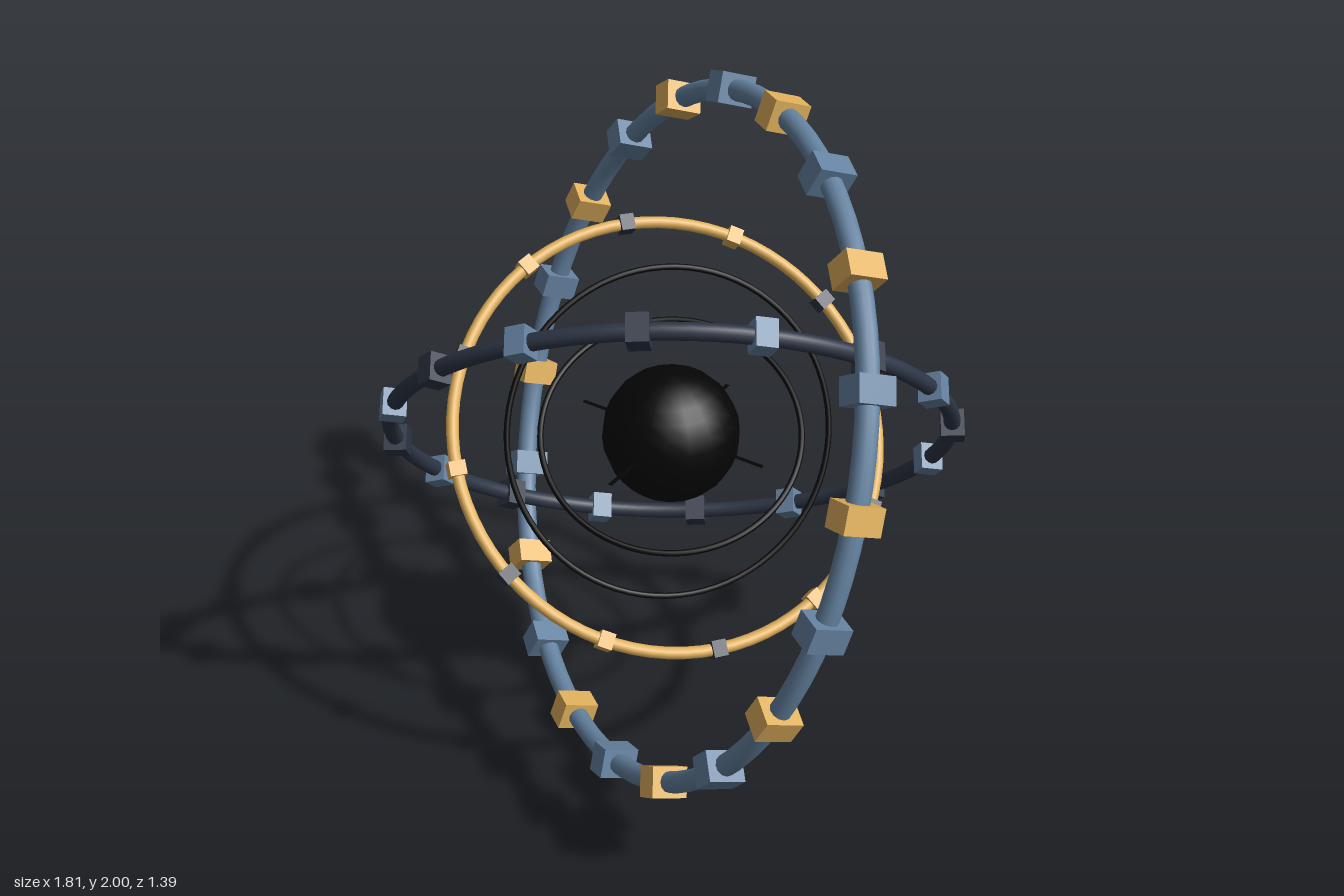
import * as THREE from 'three';

const paint = (color) => new THREE.MeshStandardMaterial({ color });

export function createModel() {
  const model = new THREE.Group();
  const blue = paint(0x6482a0), gold = paint(0xe0b05c), navy = paint(0x2d3545), black = paint(0x050505);

  // A ring around the given axis; beads alternate two materials, the first sits towards "start"
  function ring(name, { radius, tube, axis, start = [1, 0, 0], material, beads = 0, size, beadMaterials }) {
    const group = new THREE.Group();
    group.name = name;
    const z = new THREE.Vector3(...axis).normalize();
    const x = new THREE.Vector3(...start);
    x.addScaledVector(z, -x.dot(z)).normalize();
    const y = new THREE.Vector3().crossVectors(z, x);
    group.quaternion.setFromRotationMatrix(new THREE.Matrix4().makeBasis(x, y, z));

    const band = new THREE.Mesh(new THREE.TorusGeometry(radius, tube, 12, 80), material);
    band.name = name + 'Band';
    group.add(band);

    // size is radial, tangential, axial
    const box = beads ? new THREE.BoxGeometry(...size) : null;
    for (let i = 0; i < beads; i++) {
      const a = (i / beads) * Math.PI * 2;
      const bead = new THREE.Mesh(box, beadMaterials[i % 2]);
      bead.name = name + 'Block';
      bead.position.set(Math.cos(a) * radius, Math.sin(a) * radius, 0);
      bead.rotation.z = a;
      group.add(bead);
    }
    group.position.y = 1;
    model.add(group);
  }

  // Three beaded rings, largest first
  ring('outerRing', {
    radius: 0.997, tube: 0.031, axis: [-0.537, 0.334, 0.774], start: [0.174, 0.94, -0.29],
    material: blue, beads: 20, size: [0.088, 0.075, 0.11], beadMaterials: [gold, blue],
  });
  ring('middleRing', {
    radius: 0.808, tube: 0.024, axis: [-0.431, 0.609, -0.665], start: [0.187, 0.637, 0.428],
    material: navy, beads: 16, size: [0.067, 0.06, 0.08], beadMaterials: [navy, blue],
  });
  ring('innerRing', {
    radius: 0.637, tube: 0.018, axis: [0.579, 0.691, 0.42], start: [-0.345, 0.44, -0.28],
    material: gold, beads: 12, size: [0.048, 0.042, 0.053], beadMaterials: [navy, gold],
  });

  // Two thin plain orbits
  ring('wideOrbit', { radius: 0.481, tube: 0.009, axis: [0.678, 0.434, 0.59], material: black });
  ring('narrowOrbit', { radius: 0.379, tube: 0.009, axis: [0.267, 0.872, 0.41], material: black });

  // Core sphere
  const core = new THREE.Mesh(new THREE.SphereGeometry(0.201, 18, 14), black);
  core.name = 'core';
  core.position.y = 1;
  model.add(core);

  // Flat cross of thin spokes through the core
  for (const turn of [0, Math.PI / 2]) {
    const spoke = new THREE.Mesh(new THREE.BoxGeometry(0.62, 0.002, 0.012), black);
    spoke.name = 'spoke';
    spoke.position.y = 1;
    spoke.rotation.y = turn;
    model.add(spoke);
  }
  return model;
}
